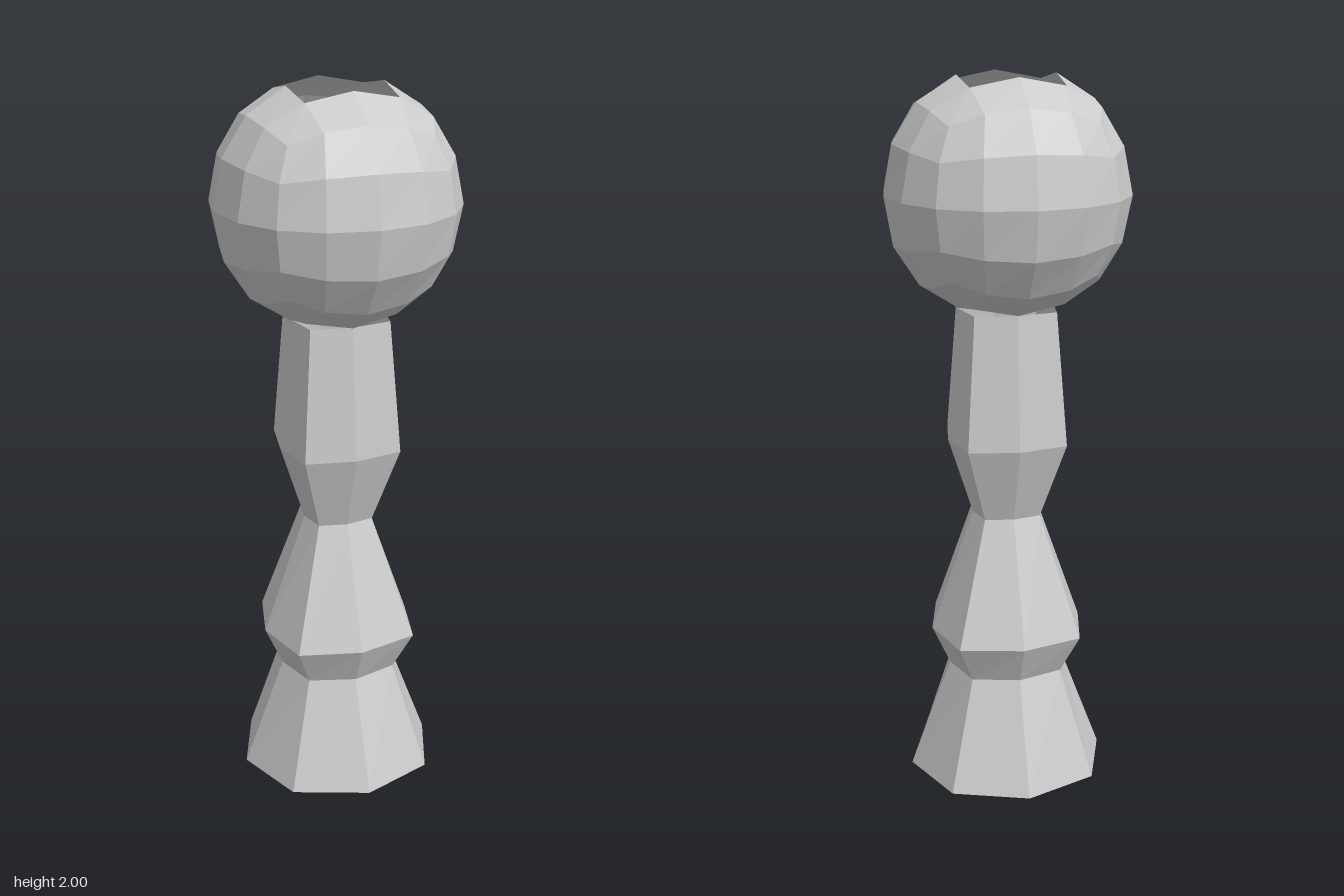
import * as THREE from 'three';

const material = new THREE.MeshStandardMaterial({
  color: 0xcccccc, flatShading: true, side: THREE.DoubleSide,
});

// Stem rings: height, distance of the on-axis corners, offset of the diagonal corners
const RINGS = [
  [0, 0.287, 0.208],
  [0.315, 0.168, 0.13],
  [0.43, 0.22, 0.175],
  [0.78, 0.097, 0.08],
  [1.0, 0.167, 0.14],
  [1.375, 0.135, 0.115],
];

function ringPoint([y, axis, diagonal], k) {
  const a = (k * Math.PI) / 4;
  const r = k % 2 ? diagonal * Math.SQRT2 : axis;
  return [r * Math.sin(a), y, r * Math.cos(a)];
}

function meshFrom(positions, name) {
  const geometry = new THREE.BufferGeometry();
  geometry.setAttribute('position', new THREE.Float32BufferAttribute(positions, 3));
  geometry.computeVertexNormals();
  const mesh = new THREE.Mesh(geometry, material);
  mesh.name = name;
  return mesh;
}

// Eight-sided open stem
function createStem() {
  const p = [];
  for (let i = 0; i < RINGS.length - 1; i++) {
    for (let k = 0; k < 8; k++) {
      const a = ringPoint(RINGS[i], k), b = ringPoint(RINGS[i], k + 1);
      const c = ringPoint(RINGS[i + 1], k + 1), d = ringPoint(RINGS[i + 1], k);
      p.push(...a, ...b, ...c, ...a, ...c, ...d);
    }
  }
  return meshFrom(p, 'stem');
}

// Floor closing the stem at its waist
function createWaistFloor() {
  const ring = RINGS[3], p = [];
  for (let k = 0; k < 8; k++) {
    p.push(0, ring[0], 0, ...ringPoint(ring, k), ...ringPoint(ring, k + 1));
  }
  return meshFrom(p, 'waistFloor');
}

// Ball: a 4x4x4 cube rounded to a sphere, its middle quads open at top and bottom
function createBall() {
  const box = new THREE.BoxGeometry(2, 2, 2, 4, 4, 4).toNonIndexed();
  const pos = box.attributes.position, p = [];
  const round = (v) => {
    const [x, y, z] = v.map((c) => (Math.abs(Math.abs(c) - 0.5) < 0.01 ? Math.sign(c) * 0.565 : c));
    const middle = [x, y, z].map(Math.abs).sort()[1];
    const r = 0.337 + 0.008 * middle;
    const f = (a, b, c) => r * a * Math.sqrt(1 - (b * b + c * c) / 2 + (b * b * c * c) / 3);
    return [f(x, y, z), f(y, z, x) + 1.688, f(z, x, y)];
  };
  for (let i = 0; i < pos.count; i += 3) {
    const tri = [0, 1, 2].map((j) => [pos.getX(i + j), pos.getY(i + j), pos.getZ(i + j)]);
    const open = tri.every(([x, y, z]) =>
      Math.abs(y) > 0.99 && Math.abs(x) < 0.6 && Math.abs(z) < 0.6);
    if (!open) tri.forEach((v) => p.push(...round(v)));
  }
  return meshFrom(p, 'ball');
}

export function createModel() {
  const model = new THREE.Group();
  model.name = 'gamePiece';
  const stem = new THREE.Group();
  stem.name = 'stemGroup';
  stem.add(createStem(), createWaistFloor());
  stem.position.set(0.003, 0, -0.003);
  model.add(stem, createBall());
  return model;
}
